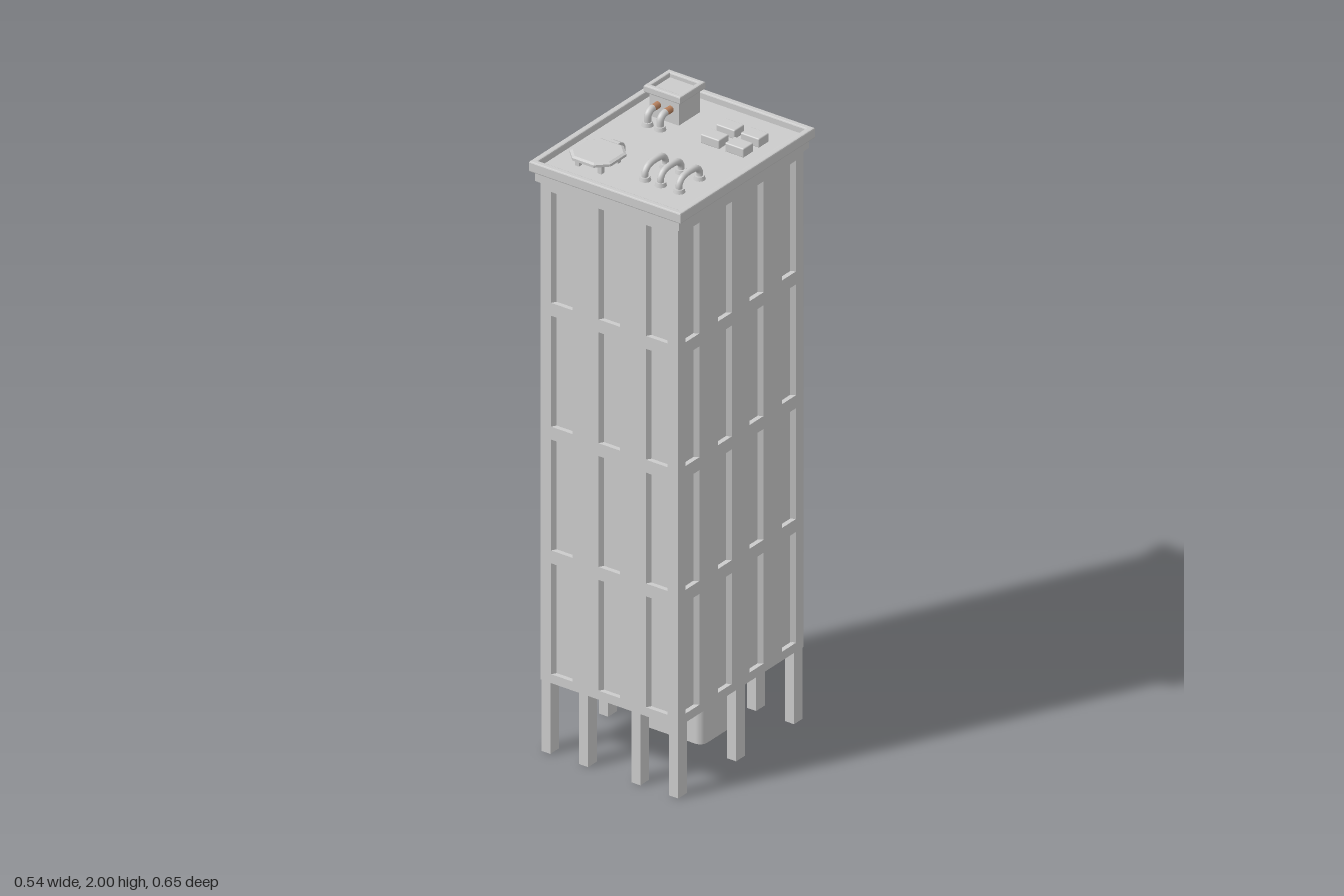
import * as THREE from 'three';
import { RoundedBoxGeometry } from 'three/addons/geometries/RoundedBoxGeometry.js';

const HX = 0.245, HZ = 0.303, BASE = 0.233, TOP = 1.86, RECESS = 0.015, FLOOR = 1.9;
const grey = new THREE.MeshStandardMaterial({ color: 0xcccccc });
const copper = new THREE.MeshStandardMaterial({ color: 0xb98360 });

function add(parent, name, geometry, x = 0, y = 0, z = 0, material = grey) {
  const mesh = new THREE.Mesh(geometry, material);
  mesh.name = name;
  mesh.position.set(x, y, z);
  parent.add(mesh);
  return mesh;
}

// Box given by its min and max corners
function block(parent, name, [x0, y0, z0], [x1, y1, z1]) {
  return add(parent, name, new THREE.BoxGeometry(x1 - x0, y1 - y0, z1 - z0),
    (x0 + x1) / 2, (y0 + y1) / 2, (z0 + z1) / 2);
}

function rect(target, x0, y0, x1, y1) {
  target.moveTo(x0, y0);
  target.lineTo(x1, y0);
  target.lineTo(x1, y1);
  target.lineTo(x0, y1);
  target.closePath();
  return target;
}

// Wall panel with a grid of window niches whose sides taper inwards
function wallGeometry(half, columns, windowWidth) {
  const shape = rect(new THREE.Shape(), -half, BASE, half, TOP);
  for (const cx of columns) {
    for (let row = 0; row < 4; row++) {
      const y = 0.262 + row * 0.403, w = windowWidth / 2;
      shape.holes.push(rect(new THREE.Path(), cx - w, y, cx + w, y + 0.361));
    }
  }
  const geo = new THREE.ExtrudeGeometry(shape, { depth: RECESS, bevelEnabled: false });
  const pos = geo.attributes.position;
  for (let i = 0; i < pos.count; i++) {
    const x = pos.getX(i);
    if (pos.getZ(i) > 0.001 || Math.abs(x) > half - 0.001) continue;
    const cx = columns.reduce((a, b) => (Math.abs(b - x) < Math.abs(a - x) ? b : a));
    pos.setX(i, x - Math.sign(x - cx) * 0.009);
  }
  geo.computeVertexNormals();
  return geo;
}

// Rectangular ring lying flat, with slightly softened edges
function ringGeometry(hx, hz, ix, iz, height) {
  const b = 0.004;
  const shape = rect(new THREE.Shape(), -hx, -hz, hx, hz);
  shape.holes.push(rect(new THREE.Path(), -ix, -iz, ix, iz));
  const geo = new THREE.ExtrudeGeometry(shape, {
    depth: height - 2 * b, bevelThickness: b, bevelSize: b, bevelOffset: -b, bevelSegments: 2,
  });
  geo.translate(0, 0, b);
  return geo.rotateX(-Math.PI / 2);
}

function pipe(parent, name, points, radius, material = grey) {
  const curve = new THREE.CatmullRomCurve3(points.map((p) => new THREE.Vector3(...p)), false, 'centripetal');
  return add(parent, name, new THREE.TubeGeometry(curve, 20, radius, 12), 0, 0, 0, material);
}

function collar(parent, x, z) {
  add(parent, 'pipeCollar', new THREE.CylinderGeometry(0.015, 0.018, 0.012, 20), x, FLOOR + 0.006, z);
}

function createModel() {
  const model = new THREE.Group();
  model.name = 'towerBlock';

  // Tower: solid interior with four windowed walls
  const tower = new THREE.Group();
  tower.name = 'tower';
  model.add(tower);
  const ix = HX - RECESS, iz = HZ - RECESS;
  block(tower, 'windowPanes', [-ix, BASE + 0.025, -iz], [ix, TOP, iz]);
  const frontGeo = wallGeometry(HX, [-0.169, 0, 0.169], 0.077);
  const sideGeo = wallGeometry(iz, [-0.234, -0.077, 0.077, 0.234], 0.068);
  for (const s of [1, -1]) {
    const turn = s > 0 ? 0 : Math.PI;
    add(tower, s > 0 ? 'frontWall' : 'backWall', frontGeo, 0, 0, s * iz).rotation.y = turn;
    add(tower, s > 0 ? 'leftWall' : 'rightWall', sideGeo, s * ix, 0, 0).rotation.y = turn + Math.PI / 2;
  }

  // Stilts around the edge
  const stilts = new THREE.Group();
  stilts.name = 'stilts';
  model.add(stilts);
  const stilt = new THREE.BoxGeometry(0.032, BASE + 0.03, 0.042);
  for (const z of [-0.28, 0, 0.28]) {
    for (const x of z === 0 ? [-0.228, 0.228] : [-0.228, -0.093, 0.093, 0.228]) {
      add(stilts, 'stilt', stilt, x, (BASE + 0.03) / 2, z);
    }
  }

  // Round-cornered entrance core under the tower
  const core = new THREE.Shape();
  core.absarc(0.085, 0.07, 0.025, 0, Math.PI / 2);
  core.absarc(-0.085, 0.07, 0.025, Math.PI / 2, Math.PI);
  core.absarc(-0.085, -0.07, 0.025, Math.PI, Math.PI * 1.5);
  core.absarc(0.085, -0.07, 0.025, Math.PI * 1.5, Math.PI * 2);
  const coreGeo = new THREE.ExtrudeGeometry(core, { depth: BASE + 0.03, bevelEnabled: false, curveSegments: 6 });
  add(model, 'entranceCore', coreGeo.rotateX(-Math.PI / 2), 0, 0, -0.091);

  // Cornice, roof slab and parapet
  block(model, 'roofSlab', [-0.257, 1.857, -0.314], [0.257, FLOOR, 0.314]);
  add(model, 'parapet', ringGeometry(0.27, 0.326, 0.25, 0.306, 0.034), 0, 1.888, 0);

  // Rooftop equipment
  const roof = new THREE.Group();
  roof.name = 'roofEquipment';
  model.add(roof);

  // Cooling unit with a rimmed top and two bent pipes
  block(roof, 'coolingUnit', [-0.18, FLOOR, -0.238], [-0.076, 1.985, -0.136]);
  add(roof, 'coolingUnitRim', ringGeometry(0.065, 0.061, 0.049, 0.044, 0.024), -0.128, 1.976, -0.186);
  for (const x of [-0.15, -0.105]) {
    pipe(roof, 'unitPipe', [[x, 1.945, -0.112], [x, 1.944, -0.1], [x, 1.934, -0.088], [x, FLOOR, -0.085]], 0.011);
    pipe(roof, 'copperPipeEnd', [[x, 1.945, -0.14], [x, 1.945, -0.111]], 0.011, copper);
    collar(roof, x, -0.085);
  }

  // Four vent boxes
  const ventGeo = new RoundedBoxGeometry(0.067, 0.03, 0.048, 2, 0.004);
  for (const x of [0.068, 0.155]) {
    for (const z of [-0.189, -0.114]) add(roof, 'ventBox', ventGeo, x, FLOOR + 0.013, z);
  }

  // Three arched pipes
  for (const x of [0.041, 0.097, 0.163]) {
    pipe(roof, 'archedPipe', [
      [x, FLOOR, 0.088], [x, 1.925, 0.088], [x, 1.94, 0.1], [x, 1.945, 0.118],
      [x, 1.945, 0.156], [x, 1.94, 0.174], [x, 1.925, 0.186], [x, FLOOR, 0.186],
    ], 0.01);
    collar(roof, x, 0.088);
    collar(roof, x, 0.186);
  }

  // Octagonal tank lid on short feet
  const h = 0.073, c = 0.038;
  const octagon = new THREE.Shape([
    [h, -c], [h, c], [c, h], [-c, h], [-h, c], [-h, -c], [-c, -h], [c, -h],
  ].map(([x, y]) => new THREE.Vector2(x, y)));
  const lidGeo = new THREE.ExtrudeGeometry(octagon, {
    depth: 0.008, bevelThickness: 0.004, bevelSize: 0.008, bevelOffset: -0.008, bevelSegments: 1,
  });
  add(roof, 'octagonLid', lidGeo.rotateX(-Math.PI / 2), -0.126, 1.93, 0.187);
  for (const sx of [-1, 1]) {
    for (const sz of [-1, 1]) {
      add(roof, 'lidFoot', new THREE.BoxGeometry(0.014, 0.034, 0.014), -0.126 + sx * 0.04, FLOOR + 0.015, 0.187 + sz * 0.04);
    }
  }

  // Square duct bending down from the lid to the roof
  const duct = new THREE.Shape([
    [0.14, 1.937], [0.1, 1.937], [0.086, 1.93], [0.078, 1.918], [0.078, FLOOR],
    [0.1, FLOOR], [0.103, 1.915], [0.11, 1.92], [0.14, 1.92],
  ].map(([z, y]) => new THREE.Vector2(-z, y)));
  const ductGeo = new THREE.ExtrudeGeometry(duct, { depth: 0.033, bevelEnabled: false });
  add(roof, 'lidDuct', ductGeo.rotateY(Math.PI / 2), -0.142, 0, 0);

  return model;
}

export { createModel };
